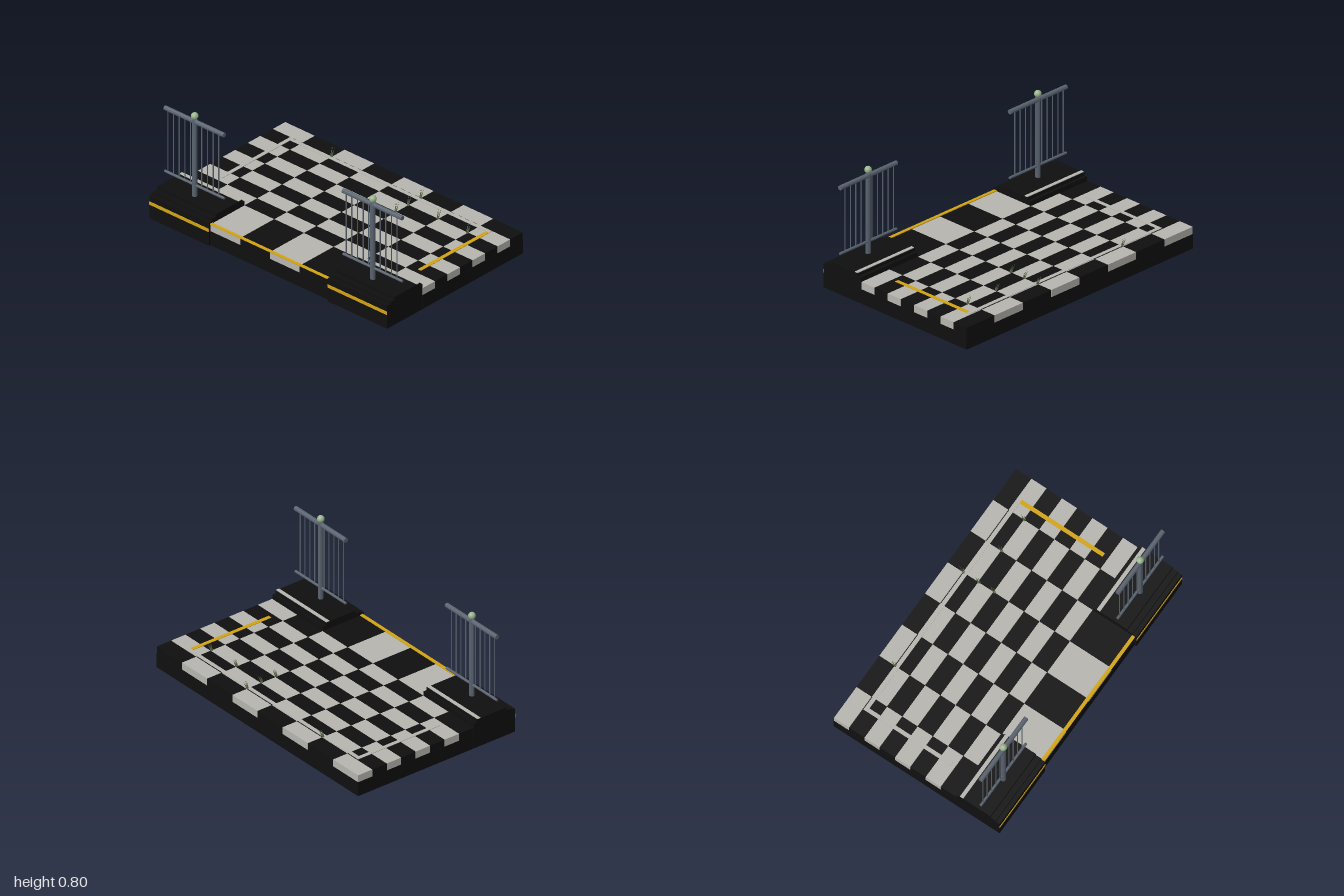
import * as THREE from 'three';

const material = (name, color, extra = {}) =>
  Object.assign(new THREE.MeshStandardMaterial({ color, ...extra }), { name });

export function createModel() {
  const black = material('black stone', 0x0f0f0f);
  const pale = material('pale stone', 0xb6b5af);
  const yellow = material('yellow paint', 0xd2a310);
  const steel = material('steel', 0x59636f, { flatShading: true });
  const green = material('pale green', 0x9ab68f);
  const leaf = material('grass green', 0x66774f, { side: THREE.DoubleSide });

  const model = new THREE.Group();
  model.name = 'tiledPlaza';

  const add = (parent, name, geometry, mat, x = 0, y = 0, z = 0) => {
    const mesh = new THREE.Mesh(geometry, mat);
    mesh.name = name;
    mesh.position.set(x, y, z);
    parent.add(mesh);
    return mesh;
  };
  // Box given by its limits along each axis
  const block = (parent, name, mat, x0, x1, y0, y1, z0, z1) =>
    add(parent, name, new THREE.BoxGeometry(x1 - x0, y1 - y0, z1 - z0), mat,
      (x0 + x1) / 2, (y0 + y1) / 2, (z0 + z1) / 2);

  // Foundation, slightly recessed between the two kerbs
  const back = -0.626, kerbZ = 0.295, top = 0.15;
  block(model, 'foundation', black, -1, 1, 0, 0.1, back, kerbZ);
  block(model, 'frontFoundation', black, -0.5, 0.5, 0, 0.1, kerbZ, 0.61);

  // Chequered paving: eight rows, plus long tiles between the kerbs
  const tiles = new THREE.Group();
  tiles.name = 'paving';
  model.add(tiles);
  const depth = (kerbZ - back) / 8, gap = 0.001;
  for (let row = 0; row < 9; row++) {
    const z0 = back + row * depth;
    const z1 = row === 8 ? 0.61 : z0 + depth;
    for (let col = row === 8 ? 2 : 0; col < (row === 8 ? 6 : 8); col++) {
      const x0 = -1 + col * 0.25;
      block(tiles, 'tile', (row + col) % 2 ? black : pale,
        x0 + gap, x0 + 0.25 - gap, 0.1, top, z0 + gap, z1 - gap);
    }
  }

  // Painted ground lines
  const lineTop = top + 0.003;
  block(model, 'backLine', pale, -0.85, 0.85, top, lineTop, -0.505, -0.478);
  block(model, 'rightLine', pale, -0.85, -0.823, top, lineTop, -0.478, 0.147);
  block(model, 'leftLine', yellow, 0.823, 0.85, top, lineTop, -0.478, 0.147);
  block(model, 'frontEdgeLine', yellow, -0.5, 0.5, top, top + 0.005, 0.592, 0.615);

  // Stepped kerbs, each with a railing
  for (const side of [-1, 1]) {
    const cx = side * 0.75, x0 = cx - 0.25, x1 = cx + 0.25, z = 0.481;
    const kerb = new THREE.Group();
    kerb.name = side > 0 ? 'leftKerb' : 'rightKerb';
    model.add(kerb);
    block(kerb, 'kerbBase', black, x0, x1, 0, 0.18, 0.297, 0.595);
    block(kerb, 'kerbFront', black, x0, x1, 0, 0.165, 0.595, 0.624);
    block(kerb, 'kerbTop', black, x0, x1, 0.18, 0.2, 0.32, 0.555);
    block(kerb, 'kerbTopStripe', pale, x0, x1, 0.2, 0.204, 0.325, 0.35);
    block(kerb, 'kerbFrontStripe', yellow, x0, x1, 0.1, 0.123, 0.624, 0.627);

    const railing = new THREE.Group();
    railing.name = side > 0 ? 'leftRailing' : 'rightRailing';
    railing.position.set(cx, 0, z);
    model.add(railing);
    add(railing, 'post', new THREE.CylinderGeometry(0.017, 0.017, 0.55, 10), steel, 0, 0.475, 0);
    add(railing, 'ball', new THREE.SphereGeometry(0.024, 16, 12), green, 0, 0.776, 0);
    for (const [name, y, r] of [['topRail', 0.736, 0.016], ['bottomRail', 0.28, 0.009]])
      add(railing, name, new THREE.CylinderGeometry(r, r, 0.5, 10), steel, 0, y, 0).rotation.z = Math.PI / 2;
    for (let i = 0; i < 10; i++)
      add(railing, 'baluster', new THREE.CylinderGeometry(0.004, 0.004, 0.456, 6), steel,
        -0.225 + i * 0.0476, 0.508, 0);
  }

  // Grass tufts growing from tile joints, leaning backwards
  const spots = [[-0.5, 1], [0.25, 1], [0.25, 2], [0.5, 2], [0.75, 2], [0.25, 3]];
  for (const [x, row] of spots) {
    const tuft = new THREE.Group();
    tuft.name = 'grassTuft';
    tuft.position.set(x, top, back + row * depth + 0.008);
    tuft.rotation.x = -0.33;
    model.add(tuft);
    for (let i = 0; i < 5; i++) {
      const h = 0.055 + 0.006 * ((i * 2) % 5), a = i * 2.4;
      const blade = new THREE.ConeGeometry(0.0035, h, 4).translate(0, h / 2, 0);
      const mesh = add(tuft, 'blade', blade, leaf, 0.005 * Math.cos(a), -0.003, 0.005 * Math.sin(a));
      mesh.rotation.set(0.08 * Math.sin(a), 0, -0.08 * Math.cos(a));
    }
  }
  return model;
}
